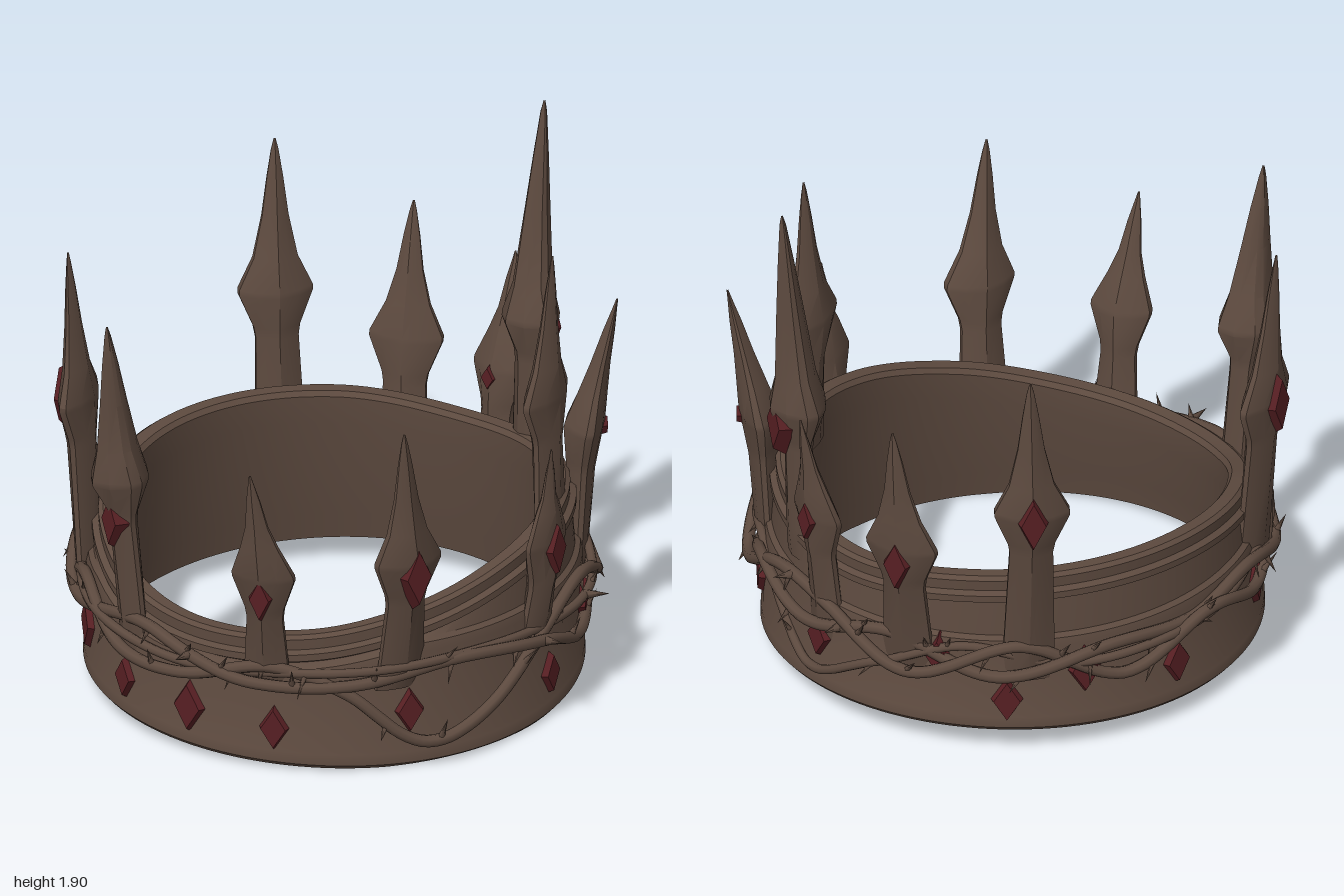
import * as THREE from 'three';
import { toCreasedNormals, mergeGeometries } from 'three/addons/utils/BufferGeometryUtils.js';

const RAD = Math.PI / 180;
const bronze = new THREE.MeshStandardMaterial({ color: 0x5d4a3f });
bronze.name = 'dark bronze';
const ruby = new THREE.MeshStandardMaterial({ color: 0x571f23 });
ruby.name = 'ruby';

// Small seeded random
let seed = 7;
const rnd = () => ((seed = (seed * 16807) % 2147483647) / 2147483647);

// Skin a grid of points: rows go along the profile, columns run round it
function loft(rows, cols, point, crease) {
  const pos = [], idx = [];
  for (let i = 0; i < rows; i++)
    for (let j = 0; j < cols; j++) pos.push(...point(i, j));
  for (let i = 0; i < rows - 1; i++)
    for (let j = 0; j < cols; j++) {
      const k = (j + 1) % cols;
      const a = i * cols + j, b = i * cols + k, c = b + cols, d = a + cols;
      idx.push(a, b, c, a, c, d);
    }
  const g = new THREE.BufferGeometry();
  g.setAttribute('position', new THREE.Float32BufferAttribute(pos, 3));
  g.setIndex(idx);
  return toCreasedNormals(g, crease);
}

// Smooth periodic height from [degrees, y] pairs; 0 is the front, 90 is +x
function heightAt(keys, deg) {
  const n = keys.length;
  deg = ((deg % 360) + 360) % 360;
  let i = n - 1;
  while (keys[i][0] > deg) i--;
  const y = (k) => keys[(k + n) % n][1];
  const end = i === n - 1 ? 360 : keys[i + 1][0];
  const t = (deg - keys[i][0]) / (end - keys[i][0]);
  const [p, a, b, q] = [y(i - 1), y(i), y(i + 1), y(i + 2)];
  return a + 0.5 * t * (b - p + t * (2 * p - 5 * a + 4 * b - q + t * (3 * (a - b) + q - p)));
}

const rimKeys = [[0, 0.47], [30, 0.49], [60, 0.57], [90, 0.66], [115, 0.7], [140, 0.69], [180, 0.65],
  [215, 0.68], [250, 0.69], [280, 0.67], [310, 0.61], [335, 0.51]];
const bottomAt = (x, z) => 0.035 - 0.04 * x - 0.035 * z + 0.03 * z * z;

// Band: moulded wall with a lower lip, a stepped collar and a sloping rim
function bandGeometry() {
  const N = 120;
  // radius, reference edge (b bottom, s step, r rim), offset
  const profile = [[0.805, 'b', 0], [0.845, 'b', 0], [0.858, 'b', 0.015], [0.856, 'b', 0.055], [0.85, 'b', 0.065],
    [0.848, 's', -0.03], [0.84, 's', 0], [0.822, 's', 0.012], [0.81, 'r', -0.095], [0.827, 'r', -0.085],
    [0.827, 'r', -0.06], [0.805, 'r', -0.05], [0.806, 'r', -0.012], [0.79, 'r', 0], [0.745, 'r', -0.002],
    [0.732, 'r', -0.02], [0.735, 'r', -0.12], [0.79, 'b', 0.1], [0.805, 'b', 0]];
  return loft(profile.length, N, (i, j) => {
    const a = (j / N) * Math.PI * 2, [r, ref, off] = profile[i];
    const x = r * Math.sin(a), z = r * Math.cos(a) * 1.03;
    const rim = heightAt(rimKeys, (j / N) * 360);
    const base = { b: bottomAt(x, z), s: Math.min(0.45, rim - 0.11), r: rim }[ref];
    return [x, Math.max(0, base + off), z];
  }, 0.6);
}

// Bevelled lozenge gem facing outward at a bearing
const gemGeometry = toCreasedNormals(new THREE.CylinderGeometry(0.72, 1, 1, 4).rotateX(Math.PI / 2), 0.1);
function addGem(parent, name, x, y, z, bearing, w, h, t) {
  const g = new THREE.Mesh(gemGeometry, ruby);
  g.name = name;
  g.scale.set(w, h, t);
  g.position.set(x, y, z);
  g.rotation.y = bearing;
  parent.add(g);
}

// Spike: shaft, swollen diamond head and long tapering point, leaning to its tip
function addSpike(parent, { head, tip, w, d = 0.08, twist = 0, foot = 0.3, footR = 0.83, gem = 1, gemY = 0 }) {
  const group = new THREE.Group();
  group.name = 'spike';
  const H = new THREE.Vector3(...head), T = new THREE.Vector3(...tip);
  const bearing = Math.atan2(H.x, H.z), turn = bearing + twist * RAD;
  const F = new THREE.Vector3(footR * Math.sin(bearing), foot, footR * Math.cos(bearing) * 1.02);
  const up = T.y - H.y;
  const spine = (y) => y < H.y
    ? F.clone().lerp(H, (y - foot) / (H.y - foot)) : H.clone().lerp(T, (y - H.y) / up);
  // y, half width, half depth
  const sections = [[foot, 0.76 * w, 0.035], [foot + 0.12, 0.68 * w, 0.045], [H.y - 0.16, 0.58 * w, 0.05],
    [H.y - 0.12, 0.63 * w, 0.055], [H.y, w, d], [H.y + 0.02, w, d], [H.y + 0.13, 0.6 * w, 0.75 * d],
    [H.y + up * 0.5, 0.36 * w, 0.5 * d], [H.y + up * 0.75, 0.22 * w, 0.3 * d],
    [T.y - 0.04, 0.1 * w, 0.12 * d], [T.y, 0.003, 0.003]];
  const ring = [[0, 1], [0.55, 0.72], [1, 0.2], [1, -0.2], [0.55, -0.72], [0, -1],
    [-0.55, -0.72], [-1, -0.2], [-1, 0.2], [-0.55, 0.72]];
  const c = Math.cos(turn), s = Math.sin(turn);
  const mesh = new THREE.Mesh(loft(sections.length, ring.length, (i, j) => {
    const [y, hw, hd] = sections[i], p = spine(y);
    const u = ring[j][0] * hw, v = ring[j][1] * hd;
    return [p.x + u * c + v * s, y, p.z - u * s + v * c];
  }, 0.5), bronze);
  mesh.name = 'spikeBlade';
  group.add(mesh);
  if (gem) {
    const y = H.y + gemY, p = spine(y);
    const k = sections.findIndex((q) => q[0] > y), [lo, hi] = [sections[k - 1], sections[k]];
    const r = lo[2] + (hi[2] - lo[2]) * (y - lo[0]) / (hi[0] - lo[0]) - 0.012;
    addGem(group, 'spikeGem', p.x + r * s, y, p.z + r * c, turn, 0.06 * gem, 0.125 * gem, 0.05);
  }
  parent.add(group);
  return group;
}

// Bramble: a wandering stem round the band, with thorns along it
function addBramble(parent, keys, r0, phase, thick, thorns, longThorns) {
  const at = (deg) => {
    const a = deg * RAD, r = r0 + 0.018 * Math.sin(5 * a + phase);
    return new THREE.Vector3(r * Math.sin(a), heightAt(keys, deg), r * Math.cos(a) * 1.02);
  };
  const pts = [];
  for (let d = 0; d < 360; d += 5) pts.push(at(d));
  const curve = new THREE.CatmullRomCurve3(pts, true);
  const stem = new THREE.Mesh(new THREE.TubeGeometry(curve, 220, thick, 8, true), bronze);
  stem.name = 'brambleStem';
  parent.add(stem);
  const list = [], Y = new THREE.Vector3(0, 1, 0);
  const thorn = (deg, radius, len, dir) => {
    const g = new THREE.ConeGeometry(radius, len, 6).translate(0, len / 2, 0);
    g.applyQuaternion(new THREE.Quaternion().setFromUnitVectors(Y, dir.normalize()));
    const p = at(deg);
    list.push(g.translate(p.x, p.y, p.z));
  };
  for (let k = 0; k < thorns; k++) {
    const deg = (k + 0.6 * rnd()) * 360 / thorns, a = deg * RAD, side = rnd() - 0.5;
    const dir = new THREE.Vector3(Math.sin(a), 0, Math.cos(a)).multiplyScalar(0.2 + 0.2 * rnd());
    dir.add(new THREE.Vector3(Math.cos(a) * side, side > 0 ? 0.6 : -0.6, -Math.sin(a) * side));
    thorn(deg, thick * 0.65, 0.06 + 0.04 * rnd(), dir);
  }
  // Long thorns pointing straight out
  for (const deg of longThorns)
    thorn(deg, 0.02, 0.09, new THREE.Vector3(Math.sin(deg * RAD), 0.15, Math.cos(deg * RAD)));
  const mesh = new THREE.Mesh(mergeGeometries(list), bronze);
  mesh.name = 'thorns';
  parent.add(mesh);
}

export function createModel() {
  const crown = new THREE.Group();
  crown.name = 'crown';
  const band = new THREE.Mesh(bandGeometry(), bronze);
  band.name = 'band';
  crown.add(band);

  // Spikes, anticlockwise from the front
  const spikes = [
    { head: [0.3, 0.74, 0.86], tip: [0.31, 1.17, 0.96], w: 0.11, d: 0.065, gem: 0.8, gemY: -0.06 },
    { head: [0.71, 0.8, 0.58], tip: [0.75, 1.33, 0.66], w: 0.125, d: 0.075, twist: 15, gem: 1.1, gemY: -0.03 },
    { head: [0.88, 0.69, -0.01], tip: [0.91, 1.06, 0], w: 0.11, d: 0.045, gem: 0.95, gemY: -0.01 },
    { head: [0.63, 0.84, -0.6], tip: [0.73, 1.33, -0.66], w: 0.12, d: 0.07, gem: 0.35 },
    { head: [0.67, 1.07, -0.31], tip: [0.7, 1.62, -0.31], w: 0.14, d: 0.06, twist: -18, foot: 0.55, footR: 0.755, gem: 0 },
    { head: [0.29, 1.1, -0.77], tip: [0.3, 1.9, -0.84], w: 0.12, d: 0.105, foot: 0.5, footR: 0.8, gem: 1.1, gemY: -0.05 },
    { head: [0.08, 0.8, -0.89], tip: [0.09, 1.22, -0.97], w: 0.11, d: 0.055, gem: 0.75 },
    { head: [-0.3, 0.82, -0.87], tip: [-0.31, 1.32, -0.93], w: 0.13, d: 0.06, gem: 0.95, gemY: -0.04 },
    { head: [-0.67, 1.0, -0.61], tip: [-0.7, 1.56, -0.65], w: 0.13, d: 0.075 },
    { head: [-0.74, 1.0, 0.48], tip: [-0.75, 1.57, 0.53], w: 0.145, d: 0.06, twist: -20, gem: 1.1 },
    { head: [-0.31, 0.95, 0.85], tip: [-0.31, 1.56, 0.93], w: 0.1, d: 0.115, gem: 0.95, gemY: -0.15 },
  ];
  const made = spikes.map((s) => addSpike(crown, s));
  // Small gem on the inner face of the back spike
  addGem(made[6], 'innerGem', 0.068, 0.78, -0.845, 0, 0.034, 0.055, 0.04);

  // Gems set round the band: bearing, height, size
  const gems = [[0, 0.18, 1], [21.5, 0.155, 0.85], [53, 0.21, 0.85], [95, 0.165, 0.8], [118, 0.28, 1], [139, 0.26, 0.85],
    [174, 0.3, 0.85], [207, 0.38, 0.75], [223, 0.22, 0.9], [241, 0.32, 0.95], [265, 0.24, 0.9], [299, 0.29, 0.95],
    [317, 0.25, 1], [339, 0.185, 0.8]];
  for (const [deg, y, s] of gems) {
    const a = deg * RAD;
    addGem(crown, 'bandGem', 0.848 * Math.sin(a), y, 0.848 * 1.03 * Math.cos(a), a, 0.072 * s, 0.115 * s, 0.046);
  }

  // Three interwoven bramble stems
  addBramble(crown, [[0, 0.39], [14, 0.34], [40, 0.33], [65, 0.38], [88, 0.34], [108, 0.24], [128, 0.29], [150, 0.43],
    [172, 0.36], [195, 0.44], [220, 0.33], [245, 0.42], [270, 0.39], [290, 0.45], [314, 0.35], [345, 0.43]],
  0.88, 0, 0.022, 20, [88, 182, 270, 1]);
  addBramble(crown, [[0, 0.32], [20, 0.39], [38, 0.3], [54, 0.11], [68, 0.15], [90, 0.35], [110, 0.45], [135, 0.31],
    [158, 0.47], [178, 0.45], [200, 0.32], [225, 0.45], [250, 0.28], [272, 0.42], [295, 0.33], [318, 0.43], [340, 0.32]],
  0.885, 2.5, 0.022, 20, [165]);
  addBramble(crown, [[0, 0.34], [30, 0.38], [60, 0.39], [90, 0.37], [120, 0.37], [140, 0.42], [158, 0.28], [172, 0.17],
    [190, 0.3], [212, 0.43], [235, 0.36], [260, 0.38], [285, 0.38], [300, 0.41], [330, 0.38]],
  0.872, 4.2, 0.017, 14, [110]);
  return crown;
}
